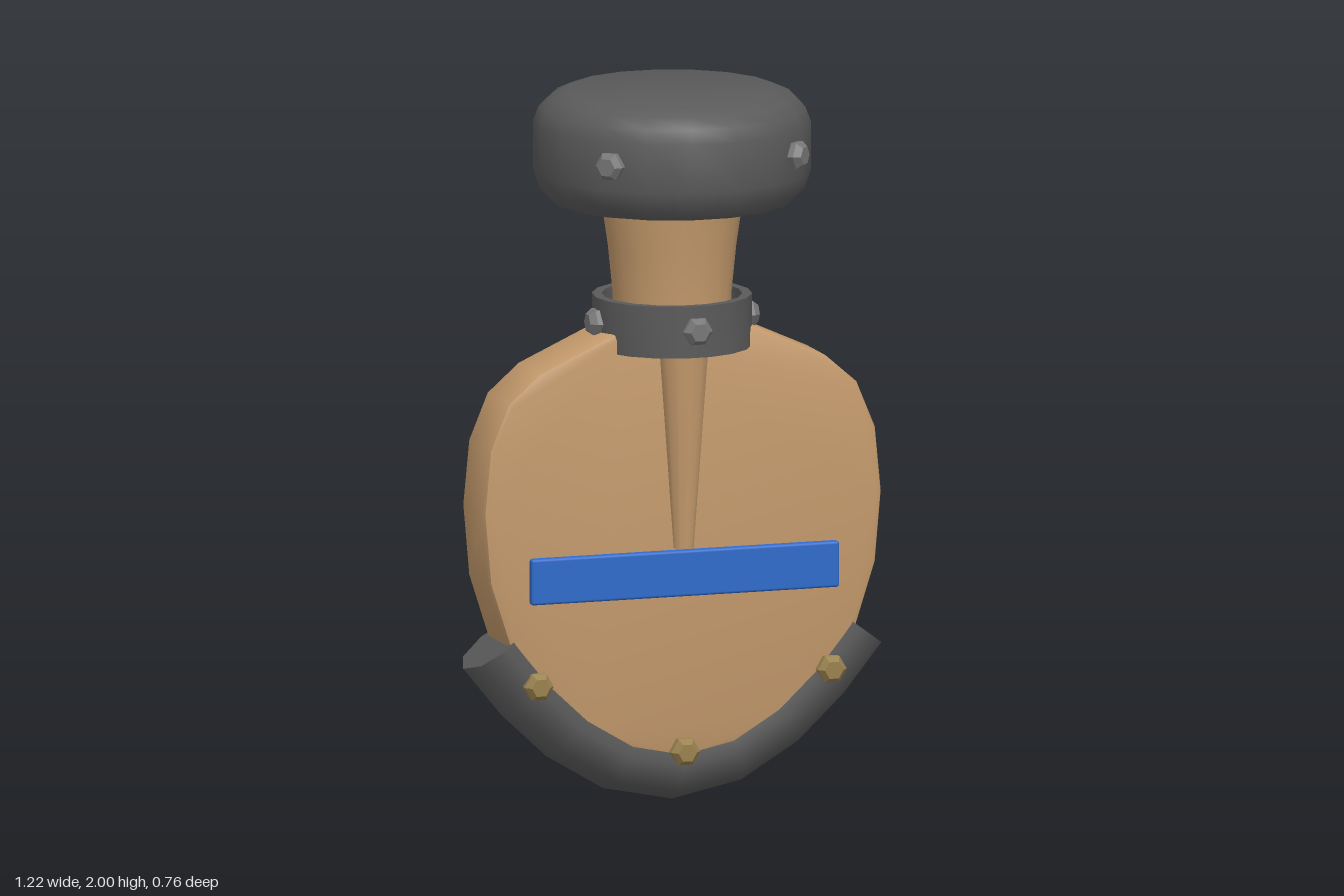
import * as THREE from 'three';
import { toCreasedNormals } from 'three/addons/utils/BufferGeometryUtils.js';
import { RoundedBoxGeometry } from 'three/addons/geometries/RoundedBoxGeometry.js';

const mat = (color, extra = {}) => new THREE.MeshStandardMaterial({ color, ...extra });
const wood = mat(0xc49a6c);
const iron = mat(0x5a5a5a);
const ironStud = mat(0x777777, { flatShading: true });
const brass = mat(0x9a8250, { flatShading: true });
const blue = mat(0x2f6bcb);

export function createModel() {
  const model = new THREE.Group();
  const add = (name, geometry, material) => {
    const mesh = new THREE.Mesh(geometry, material);
    mesh.name = name;
    model.add(mesh);
    return mesh;
  };
  // turned part, 18 sides with a corner on the x axis
  const turned = (name, profile, material) => add(name, toCreasedNormals(
    new THREE.LatheGeometry(profile.map(([r, y]) => new THREE.Vector2(r, y)), 18, Math.PI / 2), 0.7), material);

  // hexagonal stud facing outward at an angle around y (0 = front)
  const studProfile = [[0.042, -0.03], [0.042, 0.012], [0.027, 0.03], [0, 0.03]]
    .map(([r, y]) => new THREE.Vector2(r, y));
  const studGeometry = new THREE.LatheGeometry(studProfile, 6, Math.PI / 2).rotateX(Math.PI / 2);
  const stud = (name, material, x, y, z, angle) => {
    const mesh = add(name, studGeometry, material);
    mesh.position.set(x, y, z);
    mesh.rotation.y = angle;
  };

  // rounded head with four studs on the diagonals
  turned('head', [[0, 1.69], [0.335, 1.69], [0.37, 1.725], [0.385, 1.775], [0.385, 1.91],
    [0.37, 1.95], [0.34, 1.98], [0.295, 2], [0, 2]], iron);
  for (let i = 0; i < 4; i++) {
    const a = Math.PI / 4 + i * Math.PI / 2;
    stud('headStud', ironStud, Math.sin(a) * 0.382, 1.845, Math.cos(a) * 0.382, a);
  }

  // flared neck
  turned('neck', [[0, 1.28], [0.16, 1.28], [0.165, 1.43], [0.178, 1.56], [0.198, 1.7], [0, 1.7]], wood);

  // open collar with studs at the front and both sides
  turned('collar', [[0.195, 1.28], [0.222, 1.28], [0.222, 1.425], [0.195, 1.425], [0.195, 1.28]], iron);
  for (const a of [-Math.PI / 2, 0, Math.PI / 2]) {
    stud('collarStud', ironStud, Math.sin(a) * 0.218, 1.355, Math.cos(a) * 0.218, a);
  }

  // flat rounded body, half outline mirrored
  const bevel = 0.02;
  const half = [[0.17, 1.33], [0.41, 1.222], [0.495, 1.148], [0.546, 1.025], [0.563, 0.85],
    [0.546, 0.655], [0.49, 0.48], [0.38, 0.33], [0.26, 0.225], [0.14, 0.165]];
  const outline = [...half, [0, 0.14], ...half.slice().reverse().map(([x, y]) => [-x, y])];
  const bodyGeometry = new THREE.ExtrudeGeometry(
    new THREE.Shape(outline.map(([x, y]) => new THREE.Vector2(x, y))),
    { depth: 0.2 - 2 * bevel, bevelSize: bevel, bevelThickness: bevel, bevelSegments: 2 });
  bodyGeometry.translate(0, 0, -0.1 + bevel);
  add('body', toCreasedNormals(bodyGeometry, 0.6), wood);

  // tapered ridge and blue bar on both faces
  for (const side of [1, -1]) {
    add('ridge', new THREE.CylinderGeometry(0.07, 0.03, 0.545, 12), wood).position.set(0, 0.9975, side * 0.096);
    add('bar', new RoundedBoxGeometry(0.9, 0.13, 0.03, 2, 0.008), blue).position.set(0, 0.655, side * 0.105);
  }

  // curved guard around the lower edge, with closed ends
  const curve = new THREE.QuadraticBezierCurve3(
    new THREE.Vector3(-0.52, 0.468, 0), new THREE.Vector3(0, -0.244, 0), new THREE.Vector3(0.52, 0.468, 0));
  add('guard', new THREE.TubeGeometry(curve, 8, 0.112, 8), iron);
  for (const t of [0, 1]) {
    const cap = add('guardEnd', new THREE.CircleGeometry(0.112, 8), iron);
    const end = curve.getPoint(t);
    cap.position.copy(end);
    cap.lookAt(end.add(curve.getTangent(t).multiplyScalar(t ? 1 : -1)));
  }

  // brass studs on the front of the guard
  for (const [x, y] of [[-0.428, 0.36], [0, 0.152], [0.428, 0.36]]) {
    stud('guardStud', brass, x, y, 0.108, 0);
  }
  return model;
}
